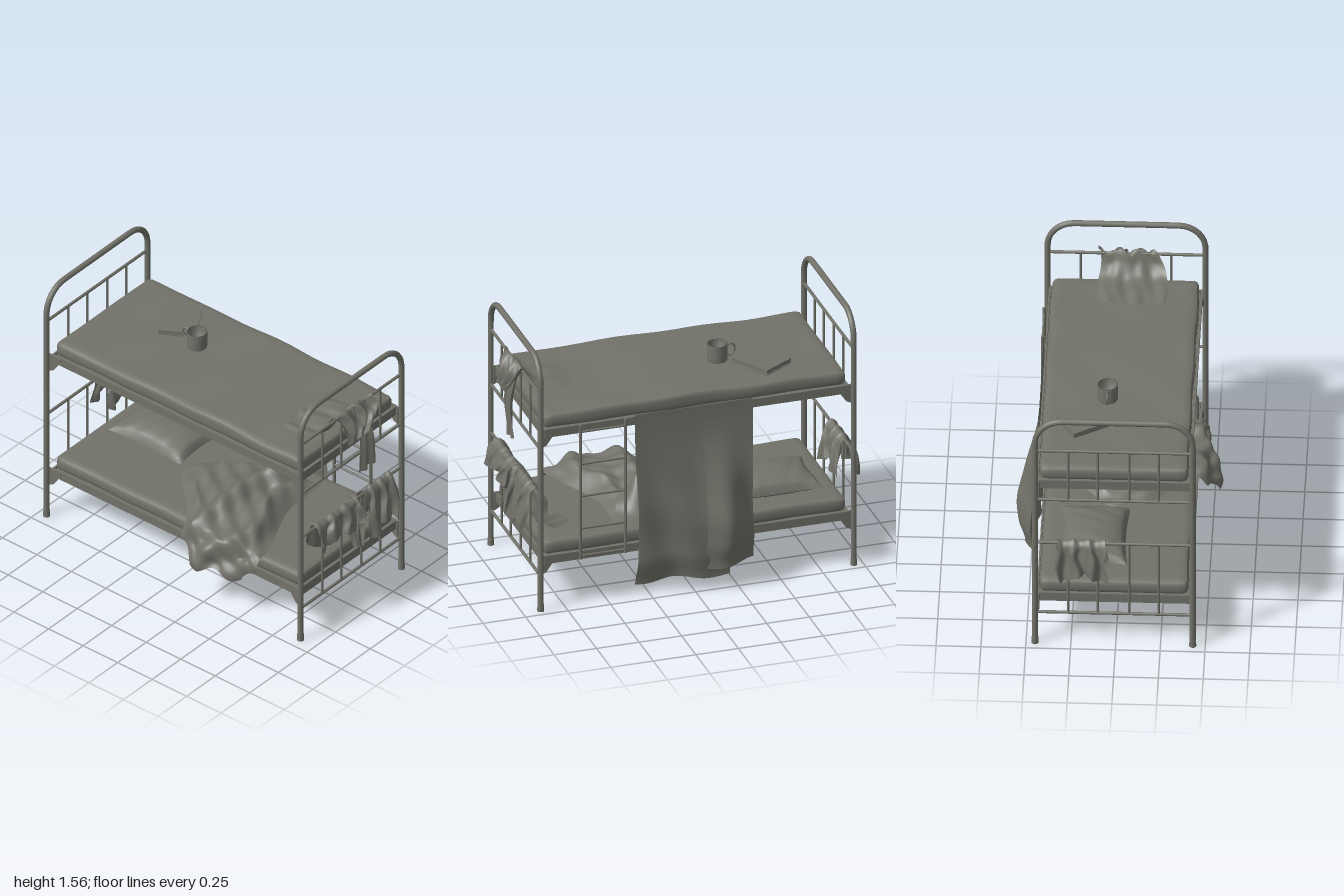
import * as THREE from 'three';
import { RoundedBoxGeometry } from 'three/addons/geometries/RoundedBoxGeometry.js';

const V = (x, y, z) => new THREE.Vector3(x, y, z);
const lerp = THREE.MathUtils.lerp;
const smooth = THREE.MathUtils.smoothstep;
const bump = (x, c, w) => Math.exp(-(((x - c) / w) ** 2));

export function createModel() {
  const paint = new THREE.MeshStandardMaterial({ color: 0x72726a, side: THREE.DoubleSide });
  paint.name = 'drabGrey';
  const root = new THREE.Group();
  root.name = 'bunkBed';

  const add = (name, geo, x = 0, y = 0, z = 0, parent = root) => {
    const m = new THREE.Mesh(geo, paint);
    m.name = name;
    m.position.set(x, y, z);
    parent.add(m);
    return m;
  };
  const box = (name, w, h, d, x, y, z, parent) => add(name, new THREE.BoxGeometry(w, h, d), x, y, z, parent);
  // round bar between two points
  const bar = (name, a, b, r, parent) => {
    const m = add(name, new THREE.CylinderGeometry(r, r, a.distanceTo(b), 10), 0, 0, 0, parent);
    m.position.copy(a).add(b).multiplyScalar(0.5);
    m.quaternion.setFromUnitVectors(V(0, 1, 0), b.clone().sub(a).normalize());
    return m;
  };
  // cloth: a grid whose vertices are placed by fn(u, v) -> [x, y, z]
  const cloth = (name, nu, nv, fn) => {
    const g = new THREE.PlaneGeometry(1, 1, nu, nv);
    const p = g.attributes.position;
    for (let i = 0; i < p.count; i++) p.setXYZ(i, ...fn(p.getX(i) + 0.5, 0.5 - p.getY(i)));
    g.computeVertexNormals();
    return add(name, g);
  };

  // ---- arched bed ends with rails and upright bars
  const zF = 0.43, zB = -0.45, top = 1.543, r = 0.15, k = r * 0.45;
  const bedEnd = (name, x) => {
    const g = new THREE.Group();
    g.name = name;
    root.add(g);
    const path = new THREE.CurvePath();
    path.add(new THREE.LineCurve3(V(x, 0, zF), V(x, top - r, zF)));
    path.add(new THREE.CubicBezierCurve3(V(x, top - r, zF), V(x, top - k, zF), V(x, top, zF - k), V(x, top, zF - r)));
    path.add(new THREE.LineCurve3(V(x, top, zF - r), V(x, top, zB + r)));
    path.add(new THREE.CubicBezierCurve3(V(x, top, zB + r), V(x, top, zB + k), V(x, top - k, zB), V(x, top - r, zB)));
    path.add(new THREE.LineCurve3(V(x, top - r, zB), V(x, 0, zB)));
    add('archedPost', new THREE.TubeGeometry(path, 120, 0.017, 12), 0, 0, 0, g);
    for (const z of [zF, zB]) add('foot', new THREE.CylinderGeometry(0.019, 0.02, 0.04, 12), x, 0.02, z, g);
    for (const [lo, hi] of [[1.0, 1.34], [0.215, 0.7]]) {
      for (const y of [lo, hi]) bar('endRail', V(x, y, zF), V(x, y, zB), 0.009, g);
      for (const z of [0.24, 0.075, -0.1, -0.265]) bar('uprightBar', V(x, lo, z), V(x, hi, z), 0.007, g);
    }
  };
  const xL = -0.945, xR = 0.895;
  bedEnd('leftHandEnd', xL);
  bedEnd('rightHandEnd', xR);

  // ---- bunks: angle-iron frame, corner brackets, base panel and mattress
  const bracketShape = new THREE.Shape([[0, 0], [0.085, 0], [0.085, -0.02], [0.03, -0.1], [0, -0.115]]
    .map(([a, b]) => new THREE.Vector2(a, b)));
  const bunk = (name, y, sag) => {
    const g = new THREE.Group();
    g.name = name;
    root.add(g);
    for (const [z, s] of [[0.412, 1], [-0.437, -1]]) {
      box('sideRail', 1.79, 0.05, 0.01, -0.025, y - 0.025, z, g);
      box('railFlange', 1.79, 0.008, 0.035, -0.025, y - 0.046, z - s * 0.015, g);
      for (const [x, m] of [[xL + 0.01, 1], [xR - 0.01, -1]]) {
        const b = add('cornerBracket', new THREE.ExtrudeGeometry(bracketShape, { depth: 0.01, bevelEnabled: false }), x, y, z, g);
        if (m < 0) { b.rotation.y = Math.PI; b.position.z += 0.01; }
      }
    }
    for (const x of [-0.915, 0.868]) box('crossRail', 0.012, 0.055, 0.85, x, y - 0.028, -0.012, g);
    box('basePanel', 1.77, 0.012, 0.83, -0.023, y - 0.02, -0.012, g);
    // slightly uneven mattress
    const geo = new THREE.BoxGeometry(1.775, 0.09, 0.825, 60, 6, 30);
    const p = geo.attributes.position, rad = 0.032, h = [0.8875, 0.045, 0.4125];
    for (let i = 0; i < p.count; i++) {
      const q = V(p.getX(i), p.getY(i), p.getZ(i));
      const c = V(...h.map((e, j) => THREE.MathUtils.clamp(q.getComponent(j), rad - e, e - rad)));
      const d = q.clone().sub(c);
      if (d.length() > rad) d.setLength(rad);
      q.copy(c).add(d);
      if (q.y > 0) q.y += sag * (0.7 * bump(q.x, 0.12, 0.35) + 0.25 * Math.sin(q.x * 11 + q.z * 4) * Math.cos(q.z * 7));
      q.z += 0.003 * Math.sin(q.x * 13) * Math.sign(q.z);
      p.setXYZ(i, q.x, q.y, q.z);
    }
    geo.computeVertexNormals();
    add('mattress', geo, -0.023, y + 0.035, -0.012, g);
  };
  bunk('upperBunk', 1.115, 0.013);
  bunk('lowerBunk', 0.33, 0.003);

  // ---- ladder on the back
  for (const x of [0.4, 0.665]) bar('ladderSide', V(x, 0.29, -0.46), V(x, 1.12, -0.46), 0.009);
  for (const y of [1.08, 0.88, 0.68, 0.48, 0.31]) bar('ladderRung', V(0.4, y, -0.46), V(0.665, y, -0.46), 0.007);

  // ---- mug
  const mug = [[0, 0], [0.054, 0], [0.057, 0.005], [0.057, 0.1], [0.052, 0.1], [0.051, 0.012], [0, 0.01]];
  add('mug', new THREE.LatheGeometry(mug.map(([a, b]) => new THREE.Vector2(a, b)), 28), -0.27, 1.203, -0.07);
  const handle = new THREE.CatmullRomCurve3([V(0.005, 0.085, 0), V(-0.03, 0.087, 0), V(-0.043, 0.07, 0), V(-0.04, 0.04, 0), V(-0.022, 0.022, 0), V(0.005, 0.02, 0)]);
  add('mugHandle', new THREE.TubeGeometry(handle, 24, 0.006, 8), -0.327, 1.203, -0.07);

  // ---- book
  const book = new THREE.Group();
  book.name = 'book';
  book.position.set(-0.485, 1.203, -0.185);
  book.rotation.y = 0.55;
  root.add(book);
  for (const y of [0.003, 0.029]) box('bookCover', 0.21, 0.005, 0.27, 0, y, 0, book);
  box('bookSpine', 0.005, 0.028, 0.27, -0.103, 0.016, 0, book);
  box('bookPages', 0.198, 0.022, 0.26, -0.003, 0.016, 0, book);

  // ---- pillow: two puffed faces meeting at a pinched seam
  for (const s of [1, -1]) cloth(s > 0 ? 'pillowTop' : 'pillowBottom', 28, 24, (u, v) => {
    const a = 2 * u - 1, b = 2 * v - 1;
    const puff = Math.pow((1 - a * a) * (1 - b * b), 0.42);
    const wr = 0.006 * Math.sin(a * 14 + b * 5) * puff * Math.abs(a);
    return [-0.545 + a * 0.265 * (1 - 0.09 * (1 - b * b)), 0.44 + 0.012 * a * a + (s > 0 ? 0.088 : -0.03) * puff + wr,
      -0.14 + b * 0.2 * (1 - 0.09 * (1 - a * a))];
  });

  // ---- long blanket hanging behind, with a folded-over outer layer
  const hang = (name, x0, x1, yEnd, out) => cloth(name, 30, 36, (u, v) => {
    const x = lerp(x0, x1, u), w = smooth(v, 0.06, 0.75);
    const y = lerp(1.13, yEnd, v) + 0.012 * Math.sin(x * 15) * v;
    const z = -0.452 - out(x) * w + 0.009 * Math.sin(x * 24 + v * 5) * w + 0.005 * Math.sin(v * 17 + x * 8) * w;
    return [x + 0.012 * Math.sin(v * 6 + 1) * (u - 0.5), y, z + 0.03 * smooth(v, 0.85, 1)];
  });
  hang('hangingBlanket', -0.2, 0.335, 0.085, x => 0.03 + 0.05 * bump(x, -0.15, 0.2));
  hang('blanketFold', -0.345, -0.06, 0.145, x => 0.045 + 0.075 * bump(x, -0.17, 0.11));

  // ---- crumpled blanket on the lower bunk, spilling over the front edge
  cloth('crumpledBlanket', 56, 64, (u, v) => {
    const t = v / 0.68, drop = smooth(v, 0.64, 1);
    const left = lerp(-0.27, 0.06, smooth(v, 0.3, 0.72)) + 0.3 * (1 - smooth(v, 0, 0.3)) + 0.12 * smooth(v, 0.8, 1);
    const right = lerp(0.42, 0.6, smooth(v, 0.2, 0.7)) - 0.1 * smooth(v, 0.85, 1);
    const x = lerp(left, right, u), edge = Math.min(1, 7 * Math.min(u, 1 - u), 7 * v);
    const fold = 0.5 + 0.5 * Math.sin(x * 24 + v * 9 + 2 * Math.sin(v * 7));
    const fine = Math.sin(x * 37 - v * 21) * Math.sin(v * 26 + x * 5);
    const zTop = lerp(-0.32, 0.42, Math.min(1, t));
    const heap = 0.03 + 0.045 * fold * smooth(x, -0.15, 0.2) + 0.016 * fine + 0.16 * bump(x, 0.24, 0.07) * bump(zTop, -0.22, 0.1)
      + 0.05 * bump(x, 0.22, 0.2) * bump(zTop, 0.1, 0.25);
    if (t <= 1) return [x, 0.418 + Math.max(0.002, heap) * edge, zTop];
    const d = (t - 1) / (1 / 0.68 - 1);
    const bottom = 0.23 + 0.05 * Math.sin(x * 14) ** 2;
    return [x, lerp(0.418 + heap * edge, bottom, Math.pow(d, 1.2)),
      0.42 + (0.035 + 0.08 * bump(x, 0.25, 0.15) + 0.03 * fold) * Math.sqrt(d) + 0.01 * fine * drop];
  });

  // ---- clothes draped over an end rail; s < 0 is the bed side, s > 0 the outside
  const drape = (name, x, y, z0, z1, side, inLen, outLen, spread, ph) => cloth(name, 32, 36, (u, v) => {
    const s = 2 * v - 1, a = Math.abs(s), z = lerp(z0, z1, u), w = smooth(a, 0, 0.5);
    const fold = Math.sin(u * 19 + ph + 1.5 * s) + 0.5 * Math.sin(u * 37 + ph * 2 + s * 4);
    const len = s < 0 ? inLen(u) : outLen(u);
    const off = 0.014 * Math.min(1, a * 7) + spread * Math.pow(a, 0.7) + 0.014 * fold * w;
    return [x + side * Math.sign(s) * off, y + 0.02 - len * Math.pow(a, 1.15) + 0.006 * fold * (1 - w),
      z + 0.012 * Math.sin(s * 7 + u * 12 + ph) * w + 0.02 * (0.5 - u) * w];
  });
  const ragged = (base, amp, f) => u => base + amp * Math.sin(u * f + 1);
  drape('shirtOnEndRail', xR, 0.7, 0.31, -0.04, 1, u => 0.14 + 0.14 * Math.sin(u * 2.4), ragged(0.14, 0.02, 9), 0.052, 0);
  drape('trousersOnEndRail', xR, 0.7, -0.11, -0.35, 1, u => 0.28 - 0.08 * u, ragged(0.27, 0.04, 6), 0.055, 2);
  drape('sleeveOnEndRail', xR, 0.69, 0.03, -0.06, 1, u => 0.12, u => 0.27 + 0.03 * u, 0.045, 4);
  drape('clothOnFarRail', xL, 0.7, -0.06, -0.32, -1, ragged(0.2, 0.03, 7), ragged(0.22, 0.025, 8), 0.055, 1);
  // trouser leg trailing onto the lower mattress
  cloth('trailingHem', 14, 10, (u, v) => [lerp(0.66, 0.86, u), 0.418 + 0.05 * u * u + 0.008 * Math.sin(v * 12 + u * 9), lerp(-0.3, -0.14, v)]);

  // ---- towel running from the upper mattress over the rail
  const run = new THREE.CatmullRomCurve3([V(0.59, 1.218, 0), V(0.7, 1.23, 0), V(0.8, 1.238, 0), V(0.86, 1.29, 0),
    V(0.895, 1.358, 0), V(0.935, 1.315, 0), V(0.965, 1.25, 0), V(0.975, 1.19, 0)]);
  cloth('towelOnUpperRail', 28, 48, (u, v) => {
    const p = run.getPoint(v), w = smooth(v, 0.35, 0.75);
    const fold = Math.sin(u * 17 + v * 5) + 0.5 * Math.sin(u * 31 - v * 7);
    const z0 = lerp(0.22, 0.1, w), z1 = lerp(-0.16, -0.16, w) + 0.07 * smooth(v, 0.7, 1);
    return [p.x + 0.012 * fold * w + 0.012 * Math.sin(u * 8) * (1 - w), p.y + (0.006 + 0.008 * w) * fold, lerp(z0, z1, u) + 0.01 * Math.sin(v * 11 + u * 3)];
  });
  // its long loose end
  cloth('towelTail', 14, 30, (u, v) => {
    const fold = Math.sin(u * 12 + v * 4);
    return [0.9 + 0.055 * Math.sin(Math.min(1, v * 1.6) * 1.57) + 0.012 * fold, 1.36 - 0.44 * v + 0.02 * u * v,
      lerp(lerp(0, -0.02, v), lerp(-0.09, -0.155, v), u)];
  });

  return root;
}
